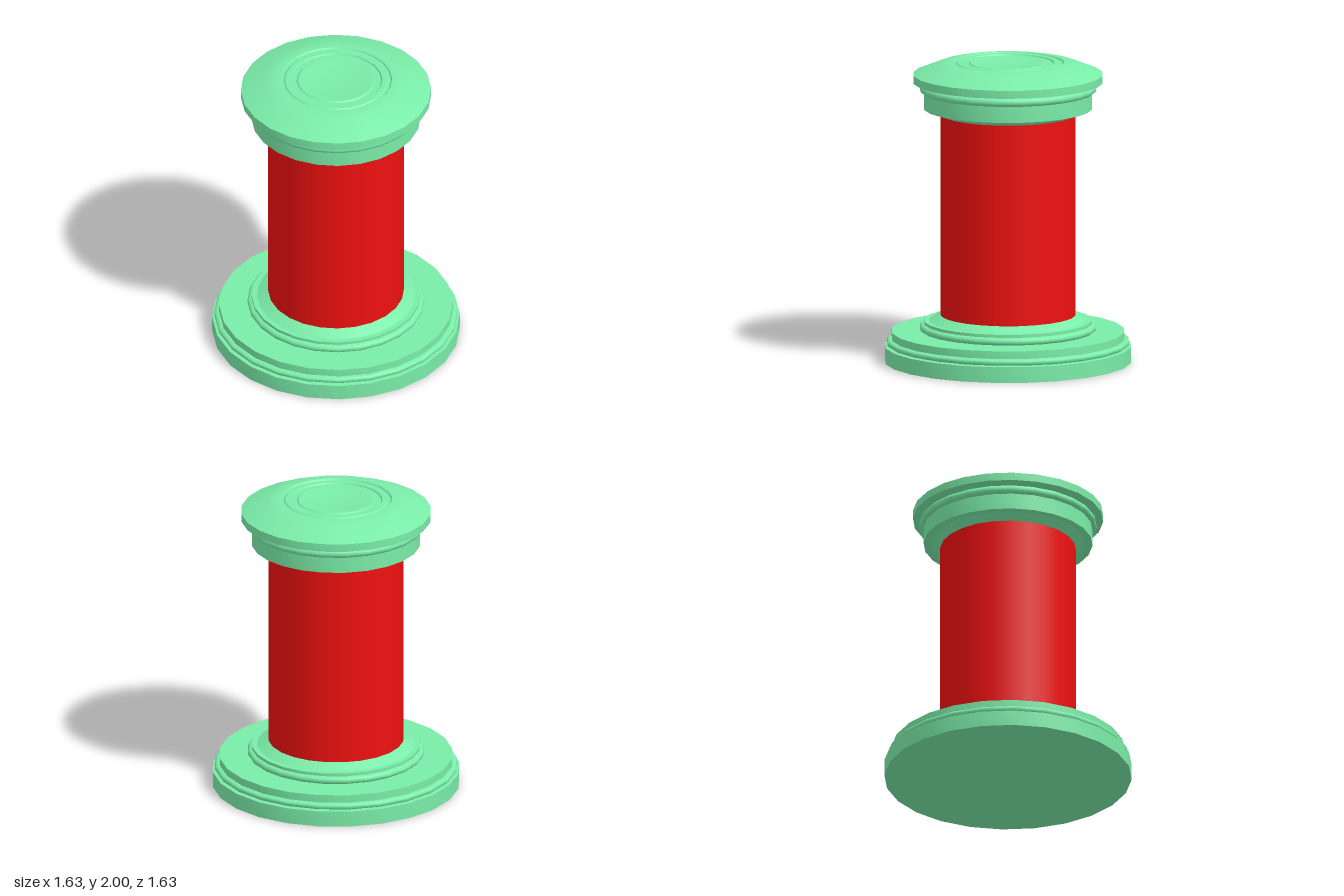
import * as THREE from 'three';
import { toCreasedNormals } from 'three/addons/utils/BufferGeometryUtils.js';

const SIDES = 24;

// Rounded moulding: half circle bulging outwards, from bottom to top
function bead(radius, y, tube) {
  const points = [];
  for (let i = 0; i <= 8; i++) {
    const a = -Math.PI / 2 + (i / 8) * Math.PI;
    points.push([radius + Math.cos(a) * tube, y + Math.sin(a) * tube]);
  }
  return points;
}

// Turned part from a profile of [radius, height], listed bottom to top
function turned(name, profile, material) {
  const points = profile.map(([r, y]) => new THREE.Vector2(r, y));
  const lathe = new THREE.LatheGeometry(points, SIDES);
  const mesh = new THREE.Mesh(toCreasedNormals(lathe, 0.5), material);
  mesh.name = name;
  return mesh;
}

export function createModel() {
  const group = new THREE.Group();
  group.name = 'pedestalColumn';
  const green = new THREE.MeshStandardMaterial({ color: 0x7aeca8 });
  const red = new THREE.MeshStandardMaterial({ color: 0xee1010 });

  // Wide stepped foot
  group.add(turned('basePlinth', [
    [0, 0], [0.815, 0], [0.815, 0.105], [0.775, 0.108],
    ...bead(0.782, 0.13, 0.02),
    [0.77, 0.152], [0.77, 0.203], [0.4, 0.203],
  ], green));

  // Collar between foot and shaft
  group.add(turned('baseCollar', [
    [0.4, 0.203], ...bead(0.56, 0.228, 0.024),
    [0.555, 0.254], [0.555, 0.274], [0.52, 0.274], [0.45, 0.312], [0.4, 0.312],
  ], green));

  // Plain shaft
  const shaft = new THREE.Mesh(new THREE.CylinderGeometry(0.447, 0.447, 1.4, SIDES), red);
  shaft.name = 'shaft';
  shaft.position.y = 0.98;
  group.add(shaft);

  // Neck of the capital with its bead
  group.add(turned('capitalNeck', [
    [0.4, 1.655], [0.45, 1.655], [0.51, 1.692], [0.557, 1.692], [0.557, 1.8],
    ...bead(0.557, 1.828, 0.028),
    [0.54, 1.868],
  ], green));

  // Sloped cap with shallow concentric rings on top
  group.add(turned('capitalTop', [
    [0.4, 1.867], [0.627, 1.867], [0.627, 1.92], [0.46, 1.987], [0.41, 1.998], [0.37, 2],
    [0.362, 1.99], [0.345, 1.99], [0.335, 1.998], [0.305, 1.998],
    [0.298, 1.988], [0.26, 1.988], [0.25, 1.996], [0.21, 1.994], [0.19, 1.99], [0, 1.99],
  ], green));

  return group;
}
